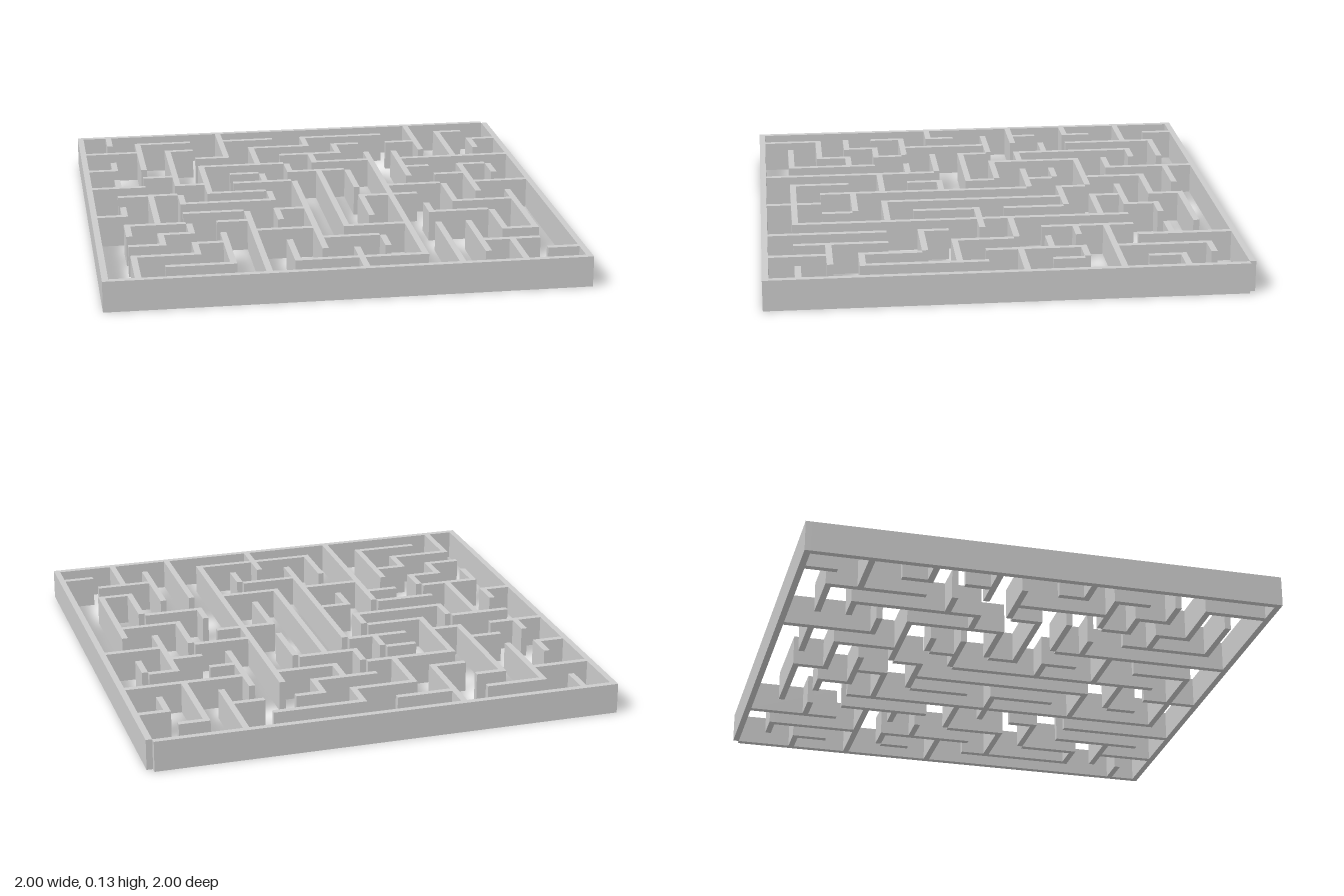
import * as THREE from 'three';

const CELLS = 15;
const T = 2 / (CELLS * 5 + 1);      // wall thickness: a fifth of a cell
const P = (2 - T) / CELLS;          // cell pitch
const H = 0.13;                     // wall height

// Walls along x: one entry per grid line from back to front, as start-end spans
const ROWS = [
  '0-15',
  '2-4 5-7 8-11 13-14',
  '0-2 3-4 6-8 9-10 11-12 14-15',
  '4-5 7-9',
  '0-1 4-7 8-10 11-15',
  '2-3 5-6 7-9 11-12 13-14',
  '0-2 3-4 5-7 12-13',
  '1-3 4-6 10-12 13-15',
  '3-6 9-11',
  '0-1 3-5 6-7 12-14',
  '1-3 4-5 11-13',
  '2-3 5-7 8-10',
  '1-2 3-4 7-9 13-14',
  '1-3 12-14',
  '2-4 6-10 14-15',
  '0-15',
];

// Walls along z: one entry per grid line from -x to +x
const COLUMNS = [
  '0-15',
  '0-1 3-4 5-6 8-9 10-11 13-15',
  '1-4 7-10 11-12',
  '2-6 7-8 10-11 12-13',
  '4-7 11-14',
  '0-3 9-15',
  '2-4 5-6 7-8 9-10 12-14',
  '4-5 6-13',
  '1-2 3-4 5-11 13-15',
  '2-3 5-7 8-10 12-13',
  '3-14',
  '3-6 9-10 11-15',
  '0-3 7-9 11-14',
  '1-4 5-8 10-12 13-15',
  '2-3 5-6 8-12',
  '0-15',
];

export function createModel() {
  const model = new THREE.Group();
  model.name = 'maze';
  const material = new THREE.MeshStandardMaterial({ color: 0xcccccc, flatShading: true });

  // Box wall given by its back-left corner and its size on the ground
  function addWall(group, name, x, z, width, depth) {
    const wall = new THREE.Mesh(new THREE.BoxGeometry(width, H, depth), material);
    wall.name = name;
    wall.position.set(x + width / 2, H / 2, z + depth / 2);
    group.add(wall);
  }

  function addWalls(lines, alongX) {
    const group = new THREE.Group();
    group.name = alongX ? 'crossWalls' : 'lengthwiseWalls';
    lines.forEach((line, k) => {
      const name = k === 0 || k === CELLS ? 'outerWall' : 'innerWall';
      for (const span of line.split(' ')) {
        const [a, b] = span.split('-').map(Number);
        const length = (b - a) * P;
        // Lengthwise walls begin one thickness later, so corners butt without overlap
        if (alongX) addWall(group, name, -1 + a * P, -1 + k * P, length, T);
        else addWall(group, name, -1 + k * P, -1 + a * P + T, T, length);
      }
    });
    model.add(group);
  }

  addWalls(ROWS, true);
  addWalls(COLUMNS, false);
  return model;
}
